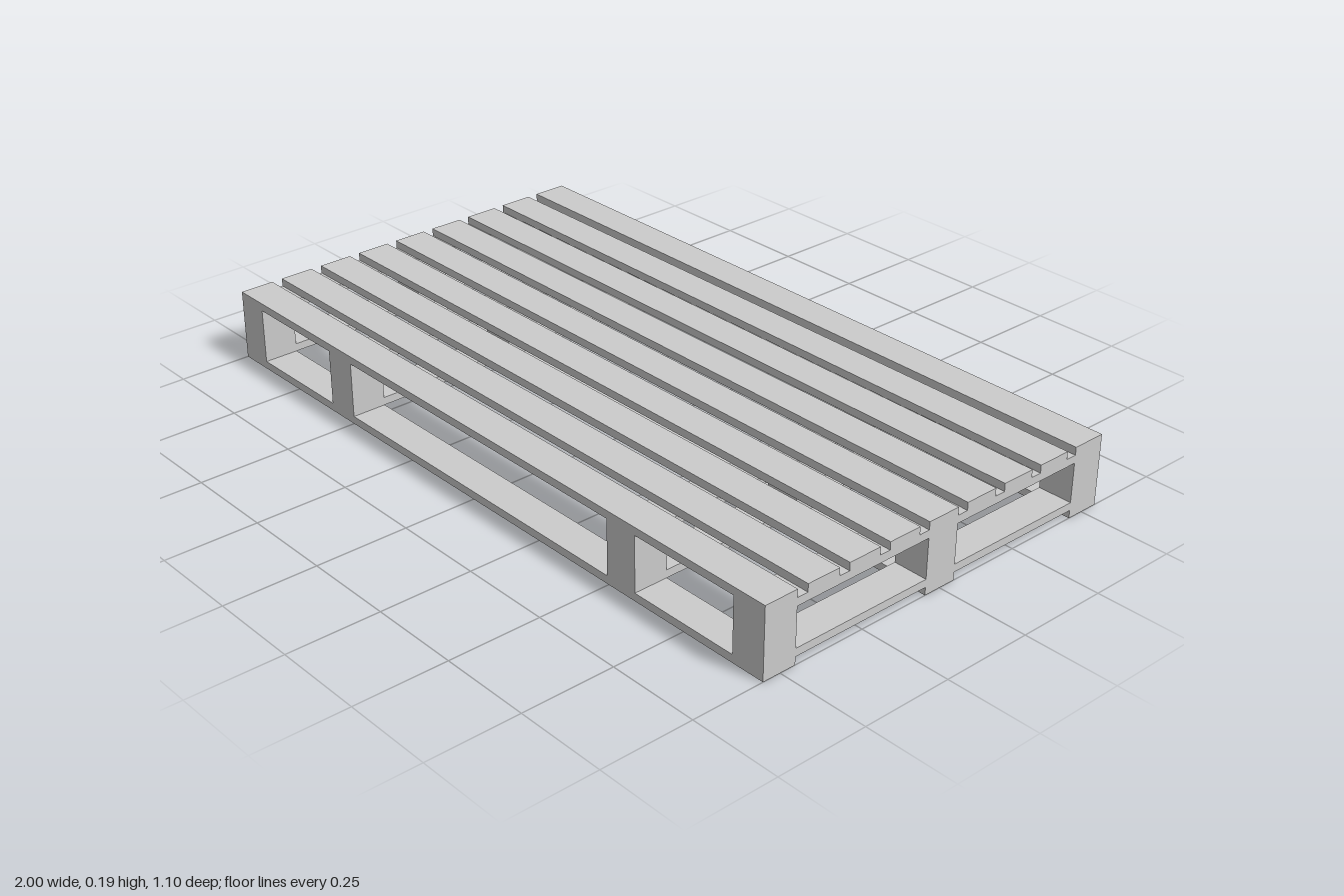
import * as THREE from 'three';

export function createModel() {
  const model = new THREE.Group();
  model.name = 'pallet';
  const material = new THREE.MeshStandardMaterial({ color: 0xcccccc, flatShading: true });

  const halfDepth = 0.55;
  const board = 0.095;  // width of every board and block
  const thick = 0.0213; // board thickness
  const blockBottom = 2 * thick, blockTop = 0.15;
  const columns = [-1 + board / 2, -0.546, 0.542, 1 - board / 2];
  const rowZ = halfDepth - board / 2;

  function addBox(name, w, h, d, x, bottom, z) {
    const mesh = new THREE.Mesh(new THREE.BoxGeometry(w, h, d), material);
    mesh.name = name;
    mesh.position.set(x, bottom + h / 2, z);
    model.add(mesh);
  }

  // Bottom runners and the blocks above them
  for (const z of [-rowZ, 0, rowZ]) {
    addBox('bottomRunner', 2, thick, board, 0, 0, z);
    for (const x of columns) {
      addBox('block', board, blockTop - blockBottom, board, x, blockBottom, z);
    }
  }

  // Cross boards below and above the blocks
  for (const x of columns) {
    addBox('lowerCrossBoard', board, thick, 2 * halfDepth, x, thick, 0);
    addBox('upperCrossBoard', board, thick, 2 * halfDepth, x, blockTop, 0);
  }

  // Nine evenly spaced deck boards
  for (let i = -4; i <= 4; i++) {
    addBox('deckBoard', 2, thick, board, 0, blockTop + thick, (i * rowZ) / 4);
  }
  return model;
}
